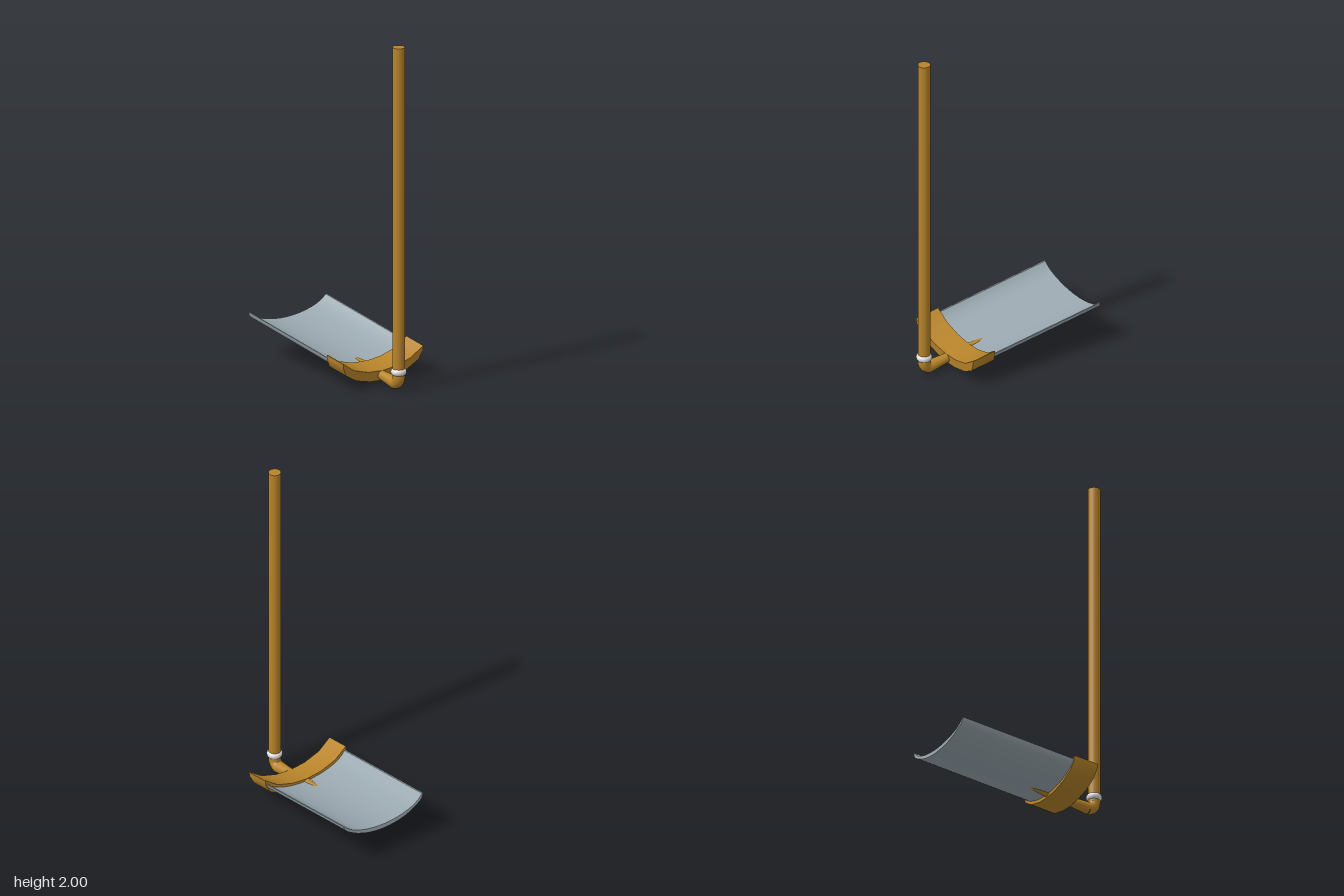
import * as THREE from 'three';
import { toCreasedNormals } from 'three/addons/utils/BufferGeometryUtils.js';

const wood = new THREE.MeshStandardMaterial({ color: 0xb8842a });
wood.name = 'wood';
const steel = new THREE.MeshStandardMaterial({ color: 0x9aa8b0 });
steel.name = 'steel';
const white = new THREE.MeshStandardMaterial({ color: 0xe2e2e2 });
white.name = 'white';

const TILT = 0.133;

function part(name, geometry, material, x = 0, y = 0, z = 0) {
  const mesh = new THREE.Mesh(geometry, material);
  mesh.name = name;
  mesh.position.set(x, y, z);
  return mesh;
}

// Mirrors a half profile (centre to edge) into a full left-to-right one
const mirrored = (half) =>
  half.slice(1).reverse().map(([z, y]) => new THREE.Vector2(-z, y))
    .concat(half.map(([z, y]) => new THREE.Vector2(z, y)));

// Curved trough: outer and inner half profiles, extruded along x
function trough(outer, inner, length, smooth) {
  const trace = (half) => {
    const pts = mirrored(half);
    return smooth ? new THREE.SplineCurve(pts).getPoints(32) : pts;
  };
  const shape = new THREE.Shape([...trace(outer), ...trace(inner).reverse()]);
  const geo = new THREE.ExtrudeGeometry(shape, { depth: length, bevelEnabled: false, steps: 1 });
  geo.rotateY(Math.PI / 2);
  return toCreasedNormals(geo, 0.6);
}

export function createModel() {
  const model = new THREE.Group();
  model.name = 'longHandledScoop';

  // Tilted blade with the collar that grips its rear end
  const head = new THREE.Group();
  head.name = 'head';
  head.position.set(-0.53, 0.155, 0);
  head.rotation.z = -TILT;
  model.add(head);

  head.add(part('blade', trough(
    [[0, 0], [0.1, 0.009], [0.18, 0.032], [0.24, 0.062], [0.268, 0.085], [0.278, 0.11]],
    [[0, 0.025], [0.1, 0.033], [0.19, 0.056], [0.24, 0.082], [0.27, 0.109]],
    0.84, true), steel));

  head.add(part('collar', trough(
    [[0, -0.022], [0.08, -0.016], [0.18, 0.01], [0.258, 0.055], [0.282, 0.105], [0.284, 0.13]],
    [[0, 0.037], [0.1, 0.046], [0.2, 0.076], [0.278, 0.13]],
    0.15, false), wood, 0.715));

  // Tapered tang running through the collar into the blade
  const tangProfile = [[0.035, 0], [0.027, 0.11], [0.026, 0.25], [0.019, 0.33], [0.012, 0.37], [0, 0.4]]
    .map(([r, y]) => new THREE.Vector2(r, y));
  const tang = part('tang', new THREE.LatheGeometry(tangProfile, 24), wood, 0.442, 0.036);
  tang.rotation.z = Math.PI / 2 - TILT;
  model.add(tang);

  // Elbow turning up into the long handle
  const elbow = part('elbow', new THREE.TorusGeometry(0.04, 0.035, 20, 16, Math.PI / 2), wood, 0.44, 0.075);
  elbow.rotation.z = -Math.PI / 2;
  model.add(elbow);

  model.add(part('handle', new THREE.CylinderGeometry(0.035, 0.035, 1.925, 32), wood, 0.48, 1.0375));

  // Rounded ring at the foot of the handle
  const ring = part('ring', new THREE.TorusGeometry(0.023, 0.022, 16, 32), white, 0.48, 0.108);
  ring.rotation.x = Math.PI / 2;
  model.add(ring);

  return model;
}
